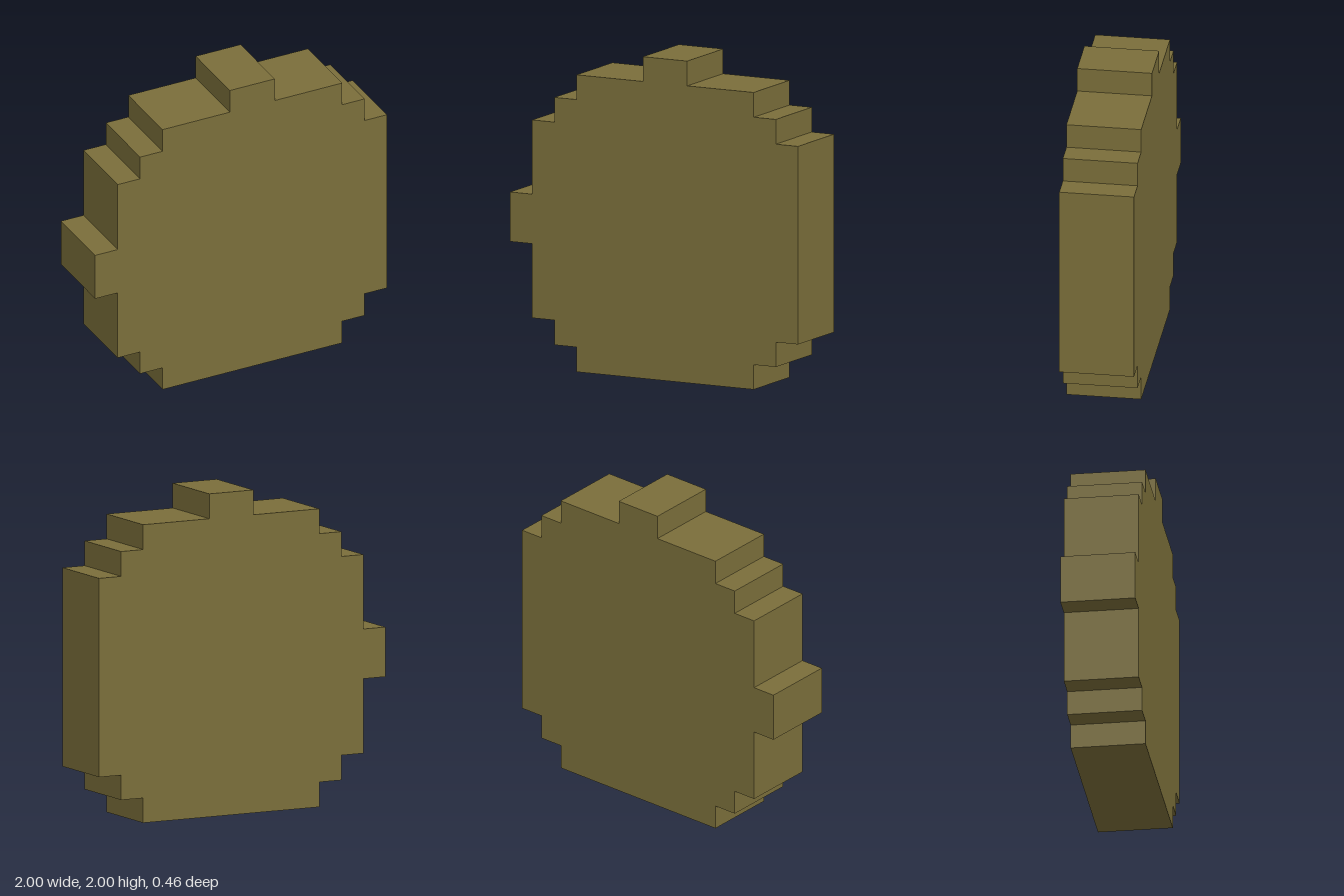
import * as THREE from 'three';

// Blocky disc laid out on a 13 x 13 pixel grid, three pixels thick
const UNIT = 2 / 13;
const DEPTH = 3 * UNIT;

// Stepped outline in grid cells, counter-clockwise from the bottom left
const OUTLINE = [
  [3, 0], [11, 0], [11, 1], [12, 1], [12, 2], [13, 2],   // bottom and lower right steps
  [13, 10], [12, 10], [12, 11], [11, 11], [11, 12],      // upper right steps
  [8, 12], [8, 13], [6, 13], [6, 12],                    // top tab
  [3, 12], [3, 11], [2, 11], [2, 10], [1, 10],           // upper left steps
  [1, 7], [0, 7], [0, 5], [1, 5],                        // side tab
  [1, 2], [2, 2], [2, 1], [3, 1],                        // lower left steps
];

export function createModel() {
  const group = new THREE.Group();
  group.name = 'pixelDisc';

  const points = OUTLINE.map(([x, y]) => new THREE.Vector2((x - 6.5) * UNIT, y * UNIT));
  const geometry = new THREE.ExtrudeGeometry(new THREE.Shape(points), {
    depth: DEPTH,
    bevelEnabled: false,
  });
  geometry.translate(0, 0, -DEPTH / 2);

  const disc = new THREE.Mesh(geometry, new THREE.MeshStandardMaterial({ color: 0x7a6e3a }));
  disc.name = 'steppedDisc';
  group.add(disc);
  return group;
}
